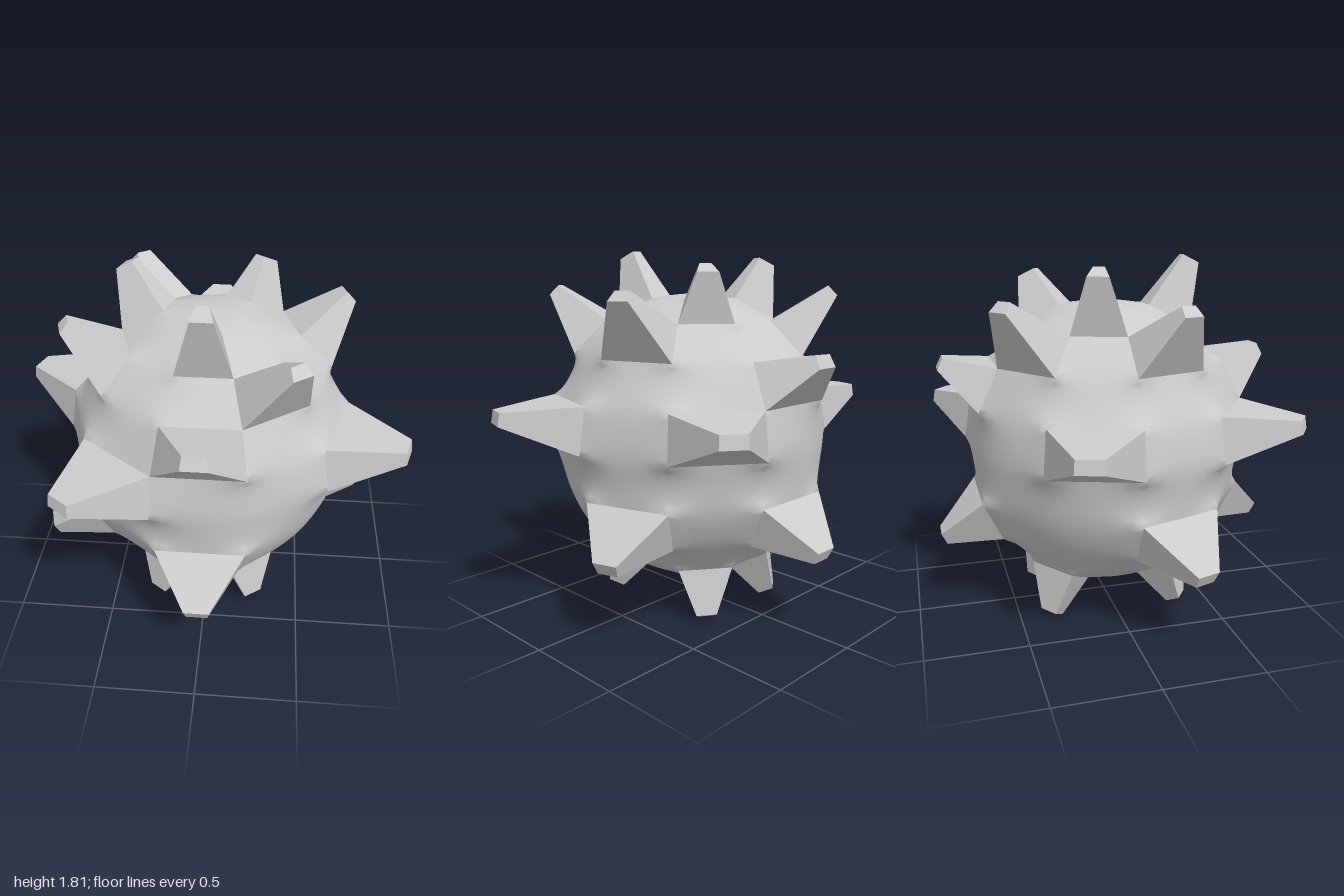
import * as THREE from 'three';

const R = 0.74, CY = 0.855, SEG = 10, RINGS = 10, STEP = Math.PI / 10;

// Spikes by latitude band (counted up from the bottom): [column, reach from centre]
const SPIKES = {
  1: [[1, 0.94], [4, 0.94], [6, 0.94], [9, 0.94]],
  3: [[0, 0.97], [3, 0.97], [5, 0.97], [8, 0.98]],
  5: [[2, 1.04], [4, 1.01], [7, 1.04], [9, 1.04]],
  6: [[0, 0.96], [5, 0.94]],
  7: [[1, 1.03], [3, 1.01], [6, 1.03], [8, 1.01]],
  8: [[0, 1.03], [4, 0.95], [7, 0.99]],
};

const average = (points) => points
  .reduce((sum, p) => sum.add(p), new THREE.Vector3()).divideScalar(points.length);

// Coarse ball: a bottom pole, nine rings of ten points, a top pole
function makeCage() {
  const points = [new THREE.Vector3(0, -R, 0)];
  for (let j = 1; j < RINGS; j++) {
    const lat = -Math.PI / 2 + j * STEP;
    for (let k = 0; k < SEG; k++) {
      const az = (2 * k - 1) * STEP;
      points.push(new THREE.Vector3(
        Math.sin(az) * Math.cos(lat), Math.sin(lat), Math.cos(az) * Math.cos(lat)).multiplyScalar(R));
    }
  }
  points.push(new THREE.Vector3(0, R, 0));
  const at = (j, k) => 1 + (j - 1) * SEG + (k % SEG);
  const top = points.length - 1;
  const faces = [], spikes = [];
  for (let j = 0; j < RINGS; j++) {
    for (let k = 0; k < SEG; k++) {
      if (j === 0) { faces.push([0, at(1, k + 1), at(1, k)]); continue; }
      if (j === RINGS - 1) { faces.push([at(j, k), at(j, k + 1), top]); continue; }
      const cell = [at(j, k), at(j, k + 1), at(j + 1, k + 1), at(j + 1, k)];
      const spike = (SPIKES[j] || []).find((s) => s[0] === k);
      if (spike) {
        spikes.push({ base: cell.map((i) => points[i].clone()), reach: spike[1], tip: j === 1 || j === 8 ? 0.38 : 0.28 });
      } else faces.push(cell);
    }
  }
  return { points, faces, spikes };
}

// One round of smooth subdivision; the rims of the spike openings stay put
function subdivide({ points, faces }) {
  const edges = new Map();
  const edgeKey = (a, b) => (a < b ? a + '_' + b : b + '_' + a);
  const centres = faces.map((f) => average(f.map((i) => points[i])));
  const around = points.map(() => ({ centres: [], mids: [], fixed: false }));
  faces.forEach((f, n) => f.forEach((a, i) => {
    const b = f[(i + 1) % f.length], key = edgeKey(a, b);
    if (!edges.has(key)) edges.set(key, { a, b, sides: [] });
    edges.get(key).sides.push(n);
    around[a].centres.push(centres[n]);
  }));
  const edgePoints = [];
  for (const e of edges.values()) {
    const ends = [points[e.a], points[e.b]], mid = average(ends);
    const rim = e.sides.length < 2;
    for (const i of [e.a, e.b]) {
      around[i].mids.push(mid);
      if (rim) around[i].fixed = true;
    }
    e.index = points.length + edgePoints.length;
    edgePoints.push(rim ? mid : average([...ends, ...e.sides.map((n) => centres[n])]));
  }
  const moved = points.map((p, i) => {
    const { centres: c, mids, fixed } = around[i], n = mids.length;
    if (fixed || n === 0) return p.clone();
    return average(c).addScaledVector(average(mids), 2).addScaledVector(p, n - 3).divideScalar(n);
  });
  const first = points.length + edgePoints.length;
  const quads = [];
  faces.forEach((f, n) => f.forEach((a, i) => {
    const next = f[(i + 1) % f.length], prev = f[(i + f.length - 1) % f.length];
    quads.push([a, edges.get(edgeKey(a, next)).index, first + n, edges.get(edgeKey(prev, a)).index]);
  }));
  return { points: [...moved, ...edgePoints, ...centres], faces: quads };
}

// Flat-sided blunt spike growing out of one cell
function spikeGeometry({ base, reach, tip }) {
  const centre = average(base);
  const end = centre.clone().setLength(reach);
  const cap = base.map((p) => p.clone().sub(centre).multiplyScalar(tip).add(end));
  const corners = [];
  const quad = (a, b, c, d) => corners.push(a, b, c, a, c, d);
  for (let i = 0; i < 4; i++) {
    const n = (i + 1) % 4;
    quad(base[i], base[n], cap[n], cap[i]);
  }
  quad(...cap);
  const geometry = new THREE.BufferGeometry().setFromPoints(corners);
  geometry.computeVertexNormals();
  return geometry;
}

export function createModel() {
  const group = new THREE.Group();
  group.name = 'spikedBall';
  const material = new THREE.MeshStandardMaterial({ color: 0xcccccc });
  const flat = new THREE.MeshStandardMaterial({ color: 0xcccccc, flatShading: true });

  // Smooth body
  const cage = makeCage();
  let surface = cage;
  for (let i = 0; i < 3; i++) surface = subdivide(surface);
  const bodyGeometry = new THREE.BufferGeometry().setFromPoints(surface.points);
  bodyGeometry.setIndex(surface.faces.flatMap(([a, b, c, d]) => [a, b, c, a, c, d]));
  bodyGeometry.computeVertexNormals();
  const body = new THREE.Mesh(bodyGeometry, material);
  body.name = 'body';
  body.position.y = CY;
  group.add(body);

  // Spikes
  const spikes = new THREE.Group();
  spikes.name = 'spikes';
  spikes.position.y = CY;
  cage.spikes.forEach((s) => {
    const mesh = new THREE.Mesh(spikeGeometry(s), flat);
    mesh.name = 'spike';
    spikes.add(mesh);
  });
  group.add(spikes);

  // Rest on the ground
  const box = new THREE.Box3().setFromObject(group);
  body.position.y -= box.min.y;
  spikes.position.y -= box.min.y;
  return group;
}
